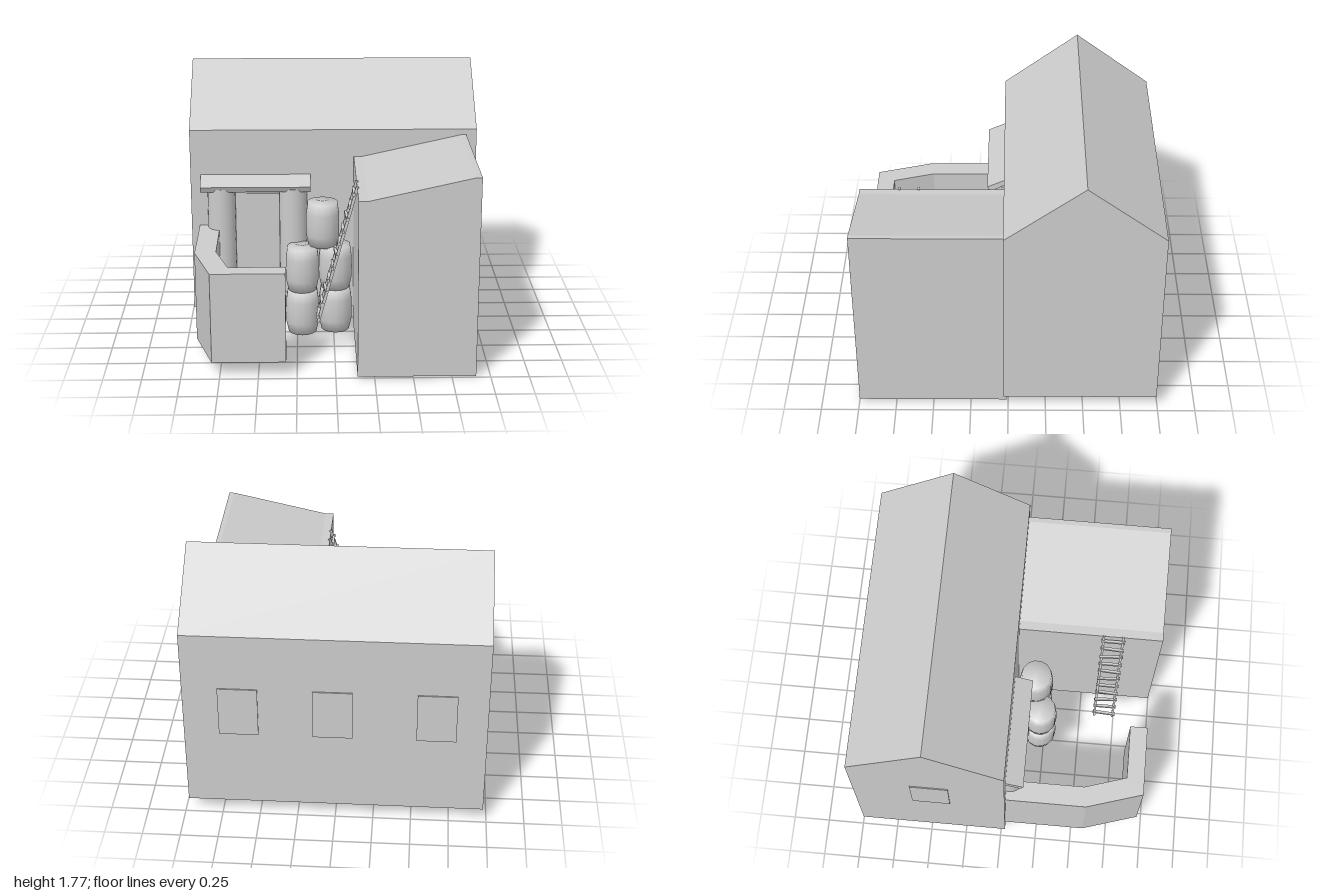
import * as THREE from 'three';

const grey = new THREE.MeshStandardMaterial({ color: 0xcccccc, side: THREE.DoubleSide });

// Extrudes an outline; faces in the profile plane stay sharp
function prism(points, depth) {
  const shape = new THREE.Shape(points.map(([a, b]) => new THREE.Vector2(a, b)));
  return new THREE.ExtrudeGeometry(shape, { depth, bevelEnabled: false });
}

// Profile in (z, y), spanning x0 to x1
function prismX(points, x0, x1) {
  return prism(points, x1 - x0).rotateY(-Math.PI / 2).translate(x1, 0, 0);
}

// Removes the downward faces, leaving a hollow building shell
function openBottom(geometry) {
  const p = geometry.attributes.position;
  const kept = [];
  const t = new THREE.Triangle();
  const n = new THREE.Vector3();
  for (let i = 0; i < p.count; i += 3) {
    t.setFromAttributeAndIndices(p, i, i + 1, i + 2);
    t.getNormal(n);
    if (n.y > -0.9) for (const v of [t.a, t.b, t.c]) kept.push(v.x, v.y, v.z);
  }
  const g = new THREE.BufferGeometry();
  g.setAttribute('position', new THREE.Float32BufferAttribute(kept, 3));
  g.computeVertexNormals();
  return g;
}

export function createModel() {
  const model = new THREE.Group();
  const add = (name, geometry, parent = model) => {
    const mesh = new THREE.Mesh(geometry, grey);
    mesh.name = name;
    parent.add(mesh);
    return mesh;
  };
  const box = (name, w, h, d, x, y, z) =>
    add(name, new THREE.BoxGeometry(w, h, d)).position.set(x, y, z);

  // Gabled house, ridge along x
  add('house', openBottom(prismX(
    [[-0.99, 0.1], [0.03, 0.1], [0.03, 1.39], [-0.48, 1.77], [-0.99, 1.39]], -0.975, 0.975)));

  // Side building with a sloping roof
  add('sideBuilding', openBottom(prism(
    [[0.14, 0.01], [0.905, 0.01], [0.905, 1.35], [0.87, 1.35], [0.2, 1.2], [0.14, 1.2]], 0.99)
    .translate(0, 0, 0.01)));

  // Bent courtyard wall
  add('courtyardWall', prism(
    [[-0.92, 0.03], [-0.92, 0.58], [-0.8, 0.965], [-0.32, 0.965],
      [-0.32, 0.845], [-0.69, 0.845], [-0.78, 0.56], [-0.78, 0.03]], 0.61)
    .rotateX(Math.PI / 2).translate(0, 0.71, 0));

  // Shallow window panels on the back and one end
  for (const x of [-0.65, 0.015, 0.62]) box('backWindow', 0.255, 0.35, 0.02, x, 0.825, -0.988);
  box('endWindow', 0.02, 0.35, 0.255, -0.972, 0.885, -0.47);

  // Entrance: door panel, two round columns and a sloping canopy
  box('door', 0.3, 0.58, 0.02, -0.52, 0.65, 0.028);
  for (const x of [-0.765, -0.275]) {
    add('column', new THREE.CylinderGeometry(0.095, 0.095, 0.75, 24)).position.set(x, 0.625, 0.05);
  }
  add('canopy', prismX(
    [[0.03, 1.075], [0.03, 1.035], [0.13, 0.98], [0.15, 1.02]], -0.905, -0.155));

  // Stacked barrels
  const barrelProfile = [[0, 0], [0.097, 0], [0.114, 0.08], [0.116, 0.155], [0.114, 0.23], [0.103, 0.31], [0, 0.31]]
    .map(([r, y]) => new THREE.Vector2(r, y));
  const barrel = new THREE.LatheGeometry(barrelProfile, 14);
  const spots = [[-0.215, 0, 0.215], [0.012, 0, 0.17], [-0.215, 0.31, 0.215], [0.012, 0.31, 0.17], [-0.075, 0.615, 0.17]];
  for (const [x, y, z] of spots) add('barrel', barrel).position.set(x, y, z);

  // Ladder leaning on the side building
  const ladder = new THREE.Group();
  ladder.name = 'ladder';
  model.add(ladder);
  const foot = new THREE.Vector2(-0.112, 0.28);
  const head = new THREE.Vector2(0.142, 1.21);
  const span = head.clone().sub(foot);
  for (const z of [0.602, 0.732]) {
    const rail = add('ladderRail', new THREE.BoxGeometry(0.02, span.length(), 0.015), ladder);
    rail.position.set((foot.x + head.x) / 2, (foot.y + head.y) / 2, z);
    rail.rotation.z = -Math.atan2(span.x, span.y);
  }
  for (let i = 0; i < 11; i++) {
    const p = foot.clone().lerp(head, 0.045 + i * 0.09);
    const rung = add('ladderRung', new THREE.BoxGeometry(0.018, 0.02, 0.16), ladder);
    rung.position.set(p.x - 0.008, p.y, 0.668);
    rung.rotation.y = 0.06 * ((i % 3) - 1);
  }

  return model;
}
